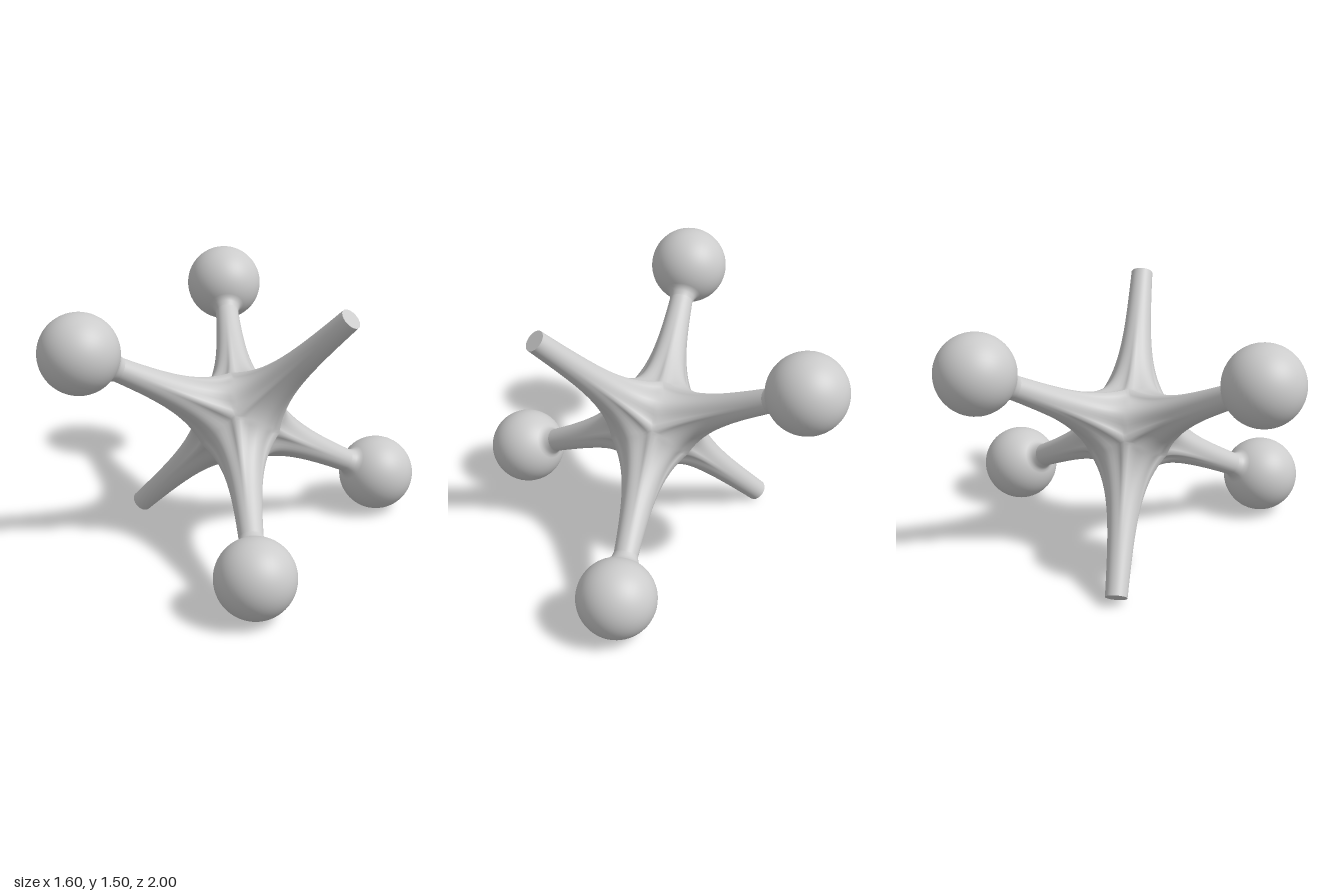
import * as THREE from 'three';
import { mergeGeometries, mergeVertices } from 'three/addons/utils/BufferGeometryUtils.js';

const SIDES = 48, STEPS = 28;
const TIP = 0.981, TIP_R = 0.062;   // arm length and end radius
const BALL = 1.06, BALL_R = 0.222;  // ball distance from the hub and radius

const material = new THREE.MeshStandardMaterial({ color: 0xcccccc });

// One flared arm along +x. Its root is the square outline shared with the four
// neighbouring arms, so six of them close into a smooth hub.
function armGeometry() {
  const pos = [], index = [];
  for (let i = 0; i < SIDES; i++) {
    const phi = (i / SIDES) * Math.PI * 2;
    const quarter = Math.PI / 2;
    const local = phi - Math.round(phi / quarter) * quarter;
    const m = 0.195 - 0.04 * (1 - Math.cos(4 * phi)) / 2;
    const rootR = m / Math.cos(local);
    const curve = new THREE.CubicBezierCurve(
      new THREE.Vector2(m, rootR),
      new THREE.Vector2(m + (rootR - 0.095) / Math.cos(local), 0.095),
      new THREE.Vector2(0.5, 0.075),
      new THREE.Vector2(TIP, TIP_R));
    for (let j = 0; j <= STEPS; j++) {
      const p = curve.getPoint(j / STEPS);
      pos.push(p.x, p.y * Math.cos(phi), p.y * Math.sin(phi));
    }
  }
  const row = STEPS + 1;
  for (let i = 0; i < SIDES; i++) {
    const a = i * row, b = ((i + 1) % SIDES) * row;
    for (let j = 0; j < STEPS; j++) {
      index.push(a + j, b + j + 1, a + j + 1, a + j, b + j, b + j + 1);
    }
  }
  const g = new THREE.BufferGeometry();
  g.setAttribute('position', new THREE.Float32BufferAttribute(pos, 3));
  g.setIndex(index);
  return g;
}

// Ball along +x with a small fillet where the arm enters it
function ballGeometry() {
  const pts = [[0.062, 0.77], [0.067, 0.81], [0.075, 0.838], [0.088, 0.856]]
    .map(([r, x]) => new THREE.Vector2(r, x));
  const start = Math.asin(0.104 / BALL_R);
  for (let i = 0; i <= 32; i++) {
    const t = start + (Math.PI - start) * (i / 32);
    pts.push(new THREE.Vector2(Math.max(0, BALL_R * Math.sin(t)), BALL - BALL_R * Math.cos(t)));
  }
  return new THREE.LatheGeometry(pts, SIDES).rotateZ(-Math.PI / 2);
}

// Rotations taking +x to each of the six arm directions
function armRotations() {
  const e = [new THREE.Vector3(1, 0, 0), new THREE.Vector3(0, 1, 0), new THREE.Vector3(0, 0, 1)];
  const list = [];
  for (let k = 0; k < 3; k++) {
    for (const s of [1, -1]) {
      list.push({
        axis: k,
        matrix: new THREE.Matrix4().makeBasis(
          e[k].clone().multiplyScalar(s), e[(k + 1) % 3], e[(k + 2) % 3].clone().multiplyScalar(s)),
      });
    }
  }
  return list;
}

export function createModel() {
  const group = new THREE.Group();
  const jack = new THREE.Group();
  jack.name = 'jack';
  group.add(jack);
  const add = (geometry, name) => {
    const mesh = new THREE.Mesh(geometry, material);
    mesh.name = name;
    jack.add(mesh);
  };

  // Hub with six arms, welded into one smooth skin
  const rotations = armRotations();
  const body = mergeVertices(
    mergeGeometries(rotations.map(({ matrix }) => armGeometry().applyMatrix4(matrix))), 1e-4);
  body.computeVertexNormals();
  add(body, 'hubAndArms');

  // Flat ends on the first axis, balls on the other two
  for (const { axis, matrix } of rotations) {
    if (axis === 0) {
      const cap = new THREE.CircleGeometry(TIP_R, SIDES).rotateY(Math.PI / 2).translate(TIP, 0, 0);
      add(cap.applyMatrix4(matrix), 'armEnd');
    } else {
      add(ballGeometry().applyMatrix4(matrix), 'ball');
    }
  }

  // Tilt so it rests on two balls and one bare arm
  const a = new THREE.Vector3(0.682, 0.705, 0.035).normalize();
  const b = new THREE.Vector3(-0.58, 0.525, 0.72);
  b.addScaledVector(a, -b.dot(a)).normalize();
  const c = new THREE.Vector3().crossVectors(a, b);
  jack.quaternion.setFromRotationMatrix(new THREE.Matrix4().makeBasis(a, b, c));
  jack.position.y = 0.75;
  return group;
}
